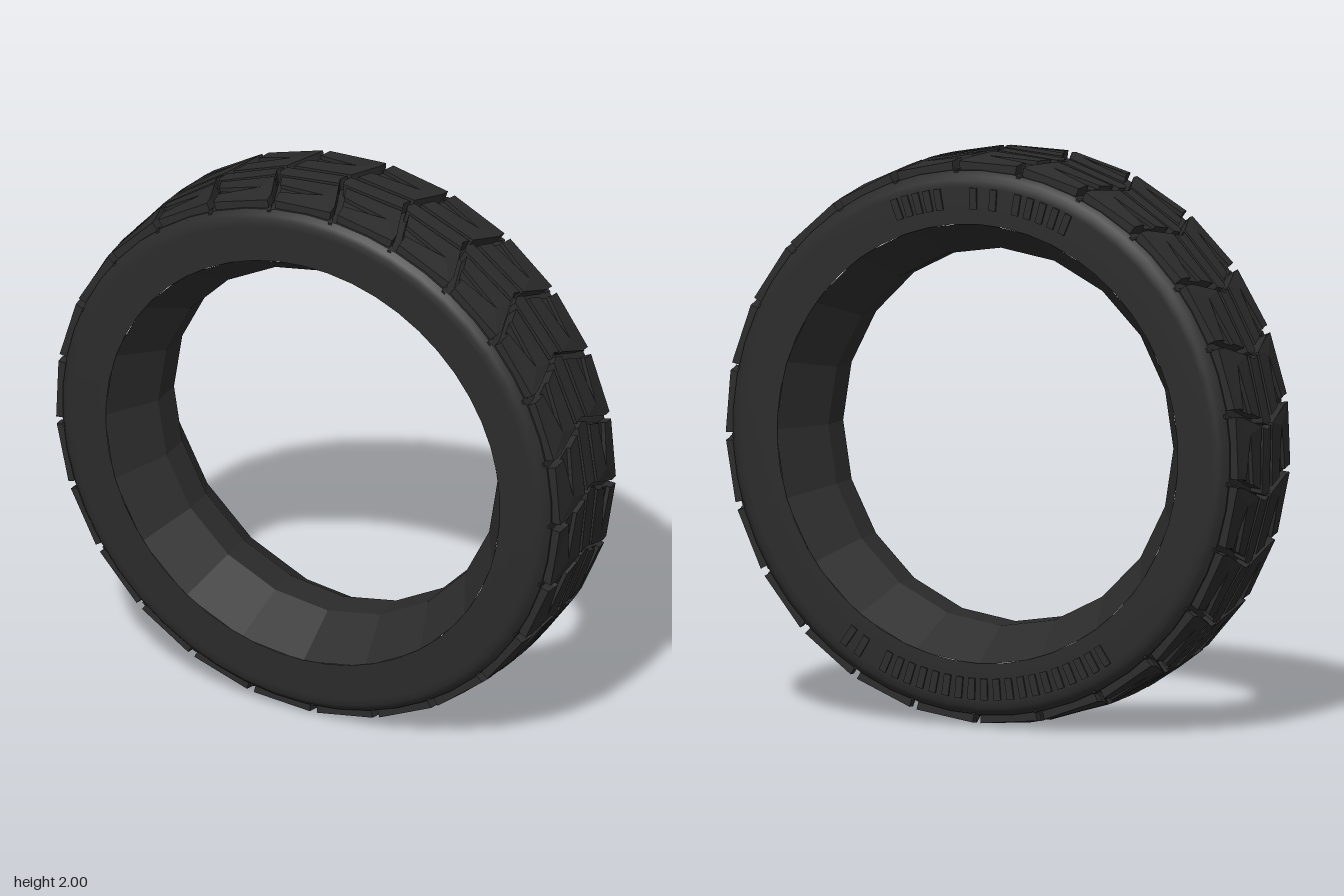
import * as THREE from 'three';
import { toCreasedNormals } from 'three/addons/utils/BufferGeometryUtils.js';

const PITCHES = 25;
const PITCH = (Math.PI * 2) / PITCHES;
const BASE = 0.955; // radius of the groove floor

// Lathe about z from [radius, z] points.
function ring(points, segments, crease) {
  const geo = new THREE.LatheGeometry(points.map(([r, z]) => new THREE.Vector2(r, z)), segments);
  geo.rotateX(Math.PI / 2);
  return toCreasedNormals(geo, crease);
}

// Tread crown: slightly lower towards the shoulder.
const crown = (z) => 1 - 0.32 * z * z;

// Raised block from an outline in [angle, z], wrapped onto the tyre.
function wrappedBlock(outline, drop = 0) {
  const shape = new THREE.Shape(outline.map(([t, z]) => new THREE.Vector2(t, z)));
  const geo = new THREE.ExtrudeGeometry(shape, { depth: 1, bevelEnabled: false });
  const p = geo.attributes.position;
  for (let i = 0; i < p.count; i++) {
    const t = p.getX(i), z = p.getY(i);
    const r = p.getZ(i) > 0.5 ? crown(z) - drop : BASE - 0.02;
    p.setXYZ(i, r * Math.cos(t), r * Math.sin(t), z);
  }
  geo.computeVertexNormals();
  return geo;
}

export function createModel() {
  const model = new THREE.Group();
  model.name = 'tyre';
  const wheel = new THREE.Group();
  wheel.name = 'tyreRing';
  wheel.position.y = 1;
  model.add(wheel);

  const rubber = new THREE.MeshStandardMaterial({ color: 0x2b2b2b });
  rubber.name = 'black rubber';

  const add = (parent, name, geo) => {
    const mesh = new THREE.Mesh(geo, rubber);
    mesh.name = name;
    parent.add(mesh);
    return mesh;
  };

  // Sidewalls, shoulders and groove floor
  const half = [[BASE, 0.218], [0.94, 0.236], [0.925, 0.246], [0.9, 0.248], [0.77, 0.248]];
  const carcass = [...half.map(([r, z]) => [r, -z]).reverse(), ...half];
  add(wheel, 'carcass', ring(carcass, 50, 0.6));

  // Faceted bore, narrowest in the middle
  const bore = [[0.777, 0.246], [0.663, 0.06], [0.663, -0.06], [0.777, -0.246]];
  add(wheel, 'bore', ring(bore, 20, 0.2));

  // Tread pattern for one pitch
  const slant = (z) => -0.4 * Math.abs(z);
  const end = PITCH - 0.028;
  const tread = [];
  tread.push(['centreBlock', wrappedBlock([
    [slant(0.03), -0.03], [0, 0], [slant(0.03), 0.03],
    [end + 0.012 + slant(0.03), 0.03], [end + 0.012, 0], [end + 0.012 + slant(0.03), -0.03],
  ])]);
  for (const s of [1, -1]) {
    const at = (t, z) => [t + slant(z), s * z];
    const a = at(end, 0.105), b = at(end, 0.155), tip = at(0.05, 0.125);
    tread.push(['sideBlock', wrappedBlock([
      at(0, 0.046), at(0, 0.17), at(0.012, 0.21), at(end + 0.012, 0.21),
      at(end, 0.17), b, tip, a, at(end, 0.046),
    ])]);
    // Sunken wedge filling the notch of the side block
    tread.push(['blockWedge', wrappedBlock([a, b, tip], 0.015)]);
    // Small rib bridging the groove at the shoulder
    tread.push(['shoulderRib', wrappedBlock([
      at(end + 0.03, 0.19), at(end + 0.03, 0.226), at(end + 0.045, 0.226), at(end + 0.045, 0.19),
    ], 0.03)]);
  }
  for (let i = 0; i < PITCHES; i++) {
    const pitch = new THREE.Group();
    pitch.name = 'treadPitch';
    pitch.rotation.z = i * PITCH + 0.045;
    for (const [name, geo] of tread) add(pitch, name, geo);
    wheel.add(pitch);
  }

  // Raised bars on the back sidewall: [start degrees, end degrees, count],
  // measured from +x about the axle
  const bars = [[69, 80, 5], [89, 94, 2], [100, 113, 5], [-124, -66, 19], [-59, -55, 2]];
  const barGeo = new THREE.BoxGeometry(0.075, 0.026, 0.02);
  for (const [from, to, count] of bars) {
    for (let i = 0; i < count; i++) {
      const angle = THREE.MathUtils.degToRad(from + ((to - from) * i) / (count - 1));
      const bar = add(wheel, 'sidewallBar', barGeo);
      bar.position.set(0.86 * Math.cos(angle), 0.86 * Math.sin(angle), -0.245);
      bar.rotation.z = angle;
    }
  }
  return model;
}
